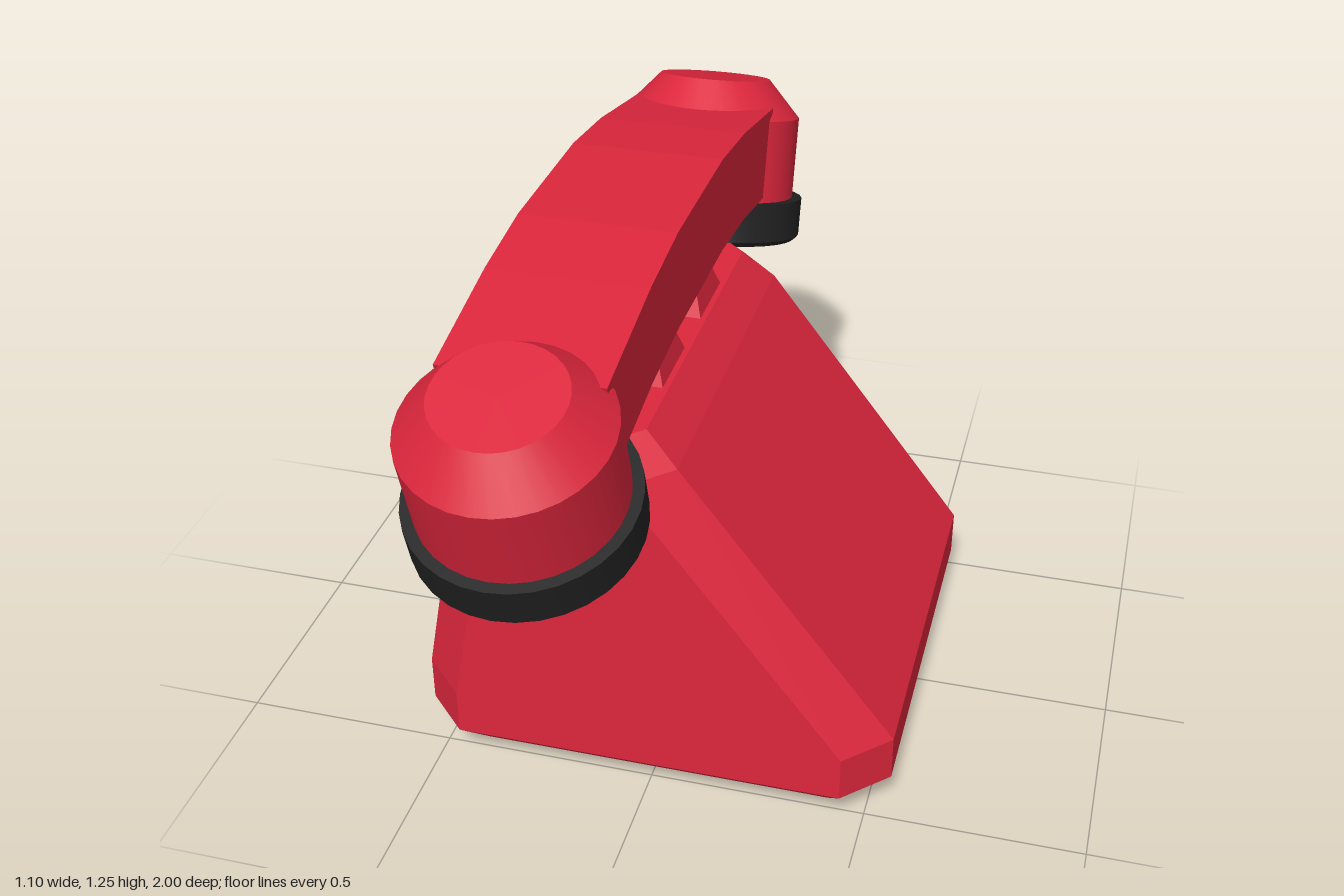
import * as THREE from 'three';
import { toCreasedNormals } from 'three/addons/utils/BufferGeometryUtils.js';

const red = new THREE.MeshStandardMaterial({ color: 0xdc263c });
const black = new THREE.MeshStandardMaterial({ color: 0x222222 });
const HANDSET_X = -0.19;

function addMesh(parent, name, geometry, material) {
  const mesh = new THREE.Mesh(geometry, material);
  mesh.name = name;
  parent.add(mesh);
  return mesh;
}

// Rectangle with cut corners at height y
function octagon({ y, x0, x1, z, c }) {
  return [
    [x0 + c, y, z], [x1 - c, y, z], [x1, y, z - c], [x1, y, c - z],
    [x1 - c, y, -z], [x0 + c, y, -z], [x0, y, c - z], [x0, y, z - c],
  ];
}

// Flat-sided solid through a stack of matching rings, capped at both ends
function loft(rings) {
  const out = [];
  const n = rings[0].length;
  const tri = (a, b, c) => out.push(...a, ...b, ...c);
  for (let r = 0; r < rings.length - 1; r++) {
    for (let i = 0; i < n; i++) {
      const j = (i + 1) % n;
      tri(rings[r][i], rings[r][j], rings[r + 1][j]);
      tri(rings[r][i], rings[r + 1][j], rings[r + 1][i]);
    }
  }
  const top = rings[rings.length - 1];
  for (let i = 1; i < n - 1; i++) {
    tri(top[0], top[i], top[i + 1]);
    tri(rings[0][0], rings[0][i + 1], rings[0][i]);
  }
  const geometry = new THREE.BufferGeometry();
  geometry.setAttribute('position', new THREE.Float32BufferAttribute(out, 3));
  geometry.computeVertexNormals();
  return geometry;
}

// Box whose top is scaled in, standing on its base
function taperedBox(w, h, d, scaleX, scaleZ) {
  const geometry = new THREE.BoxGeometry(w, h, d).translate(0, h / 2, 0);
  const p = geometry.attributes.position;
  for (let i = 0; i < p.count; i++) {
    if (p.getY(i) > h / 2) p.setXYZ(i, p.getX(i) * scaleX, h, p.getZ(i) * scaleZ);
  }
  const flat = geometry.toNonIndexed();
  flat.computeVertexNormals();
  return flat;
}

function turned(points) {
  const profile = points.map(([r, y]) => new THREE.Vector2(r, y));
  return toCreasedNormals(new THREE.LatheGeometry(profile, 32), 0.5);
}

// Ear or mouth cup, open face down at the group's origin
function createCup(name) {
  const cup = new THREE.Group();
  cup.name = name;
  addMesh(cup, 'cupShell', turned([
    [0.2, 0.08], [0.2225, 0.08], [0.2225, 0.312], [0.14, 0.402], [0, 0.402],
  ]), red);
  addMesh(cup, 'cupRing', turned([
    [0.16, 0.05], [0.16, 0], [0.235, 0], [0.2475, 0.012], [0.2475, 0.108], [0.22, 0.108],
  ]), black);
  addMesh(cup, 'cupRecess', turned([
    [0, 0.045], [0.11, 0.045], [0.11, 0.03], [0.162, 0.01],
  ]), red);
  return cup;
}

export function createModel() {
  const model = new THREE.Group();
  model.name = 'telephone';

  // Wedge-shaped body with chamfered edges
  addMesh(model, 'body', loft([
    { y: 0, x0: -0.47, x1: 0.47, z: 0.47, c: 0.06 },
    { y: 0.08, x0: -0.55, x1: 0.55, z: 0.55, c: 0.1 },
    { y: 0.19, x0: -0.55, x1: 0.55, z: 0.55, c: 0.1 },
    { y: 0.83, x0: -0.43, x1: 0.055, z: 0.55, c: 0.1 },
    { y: 0.9, x0: -0.36, x1: -0.02, z: 0.46, c: 0.04 },
  ].map(octagon)), red);

  // Cradle rests and the hook between them
  for (const side of [1, -1]) {
    const rest = addMesh(model, side > 0 ? 'frontRest' : 'backRest',
      taperedBox(0.32, 0.14, 0.19, 0.75, 0.4), red);
    rest.position.set(HANDSET_X, 0.89, side * 0.16);
  }
  const hook = addMesh(model, 'hook', taperedBox(0.2, 0.07, 0.17, 0.9, 0.95), red);
  hook.position.set(HANDSET_X, 0.89, 0);

  // Arched handle, half profile as [z, y] mirrored front to back
  const handset = new THREE.Group();
  handset.name = 'handset';
  handset.position.x = HANDSET_X;
  model.add(handset);
  const upper = [[0.19, 1.25], [0.4, 1.225], [0.7, 1.165]];
  const lower = [[0.62, 0.96], [0.4, 1.0], [0.19, 1.02]];
  const half = [...upper, ...lower];
  const outline = [...half, ...half.map(([z, y]) => [-z, y]).reverse()];
  const shape = new THREE.Shape(outline.map(([z, y]) => new THREE.Vector2(z, y)));
  const handle = new THREE.ExtrudeGeometry(shape, { depth: 0.356, bevelEnabled: false })
    .translate(0, 0, -0.178).rotateY(-Math.PI / 2);
  addMesh(handset, 'handle', handle, red);

  // Cups tilted outwards at each end
  for (const side of [1, -1]) {
    const end = new THREE.Group();
    end.name = side > 0 ? 'frontEnd' : 'backEnd';
    end.rotation.y = side > 0 ? 0 : Math.PI;
    const cup = createCup(side > 0 ? 'mouthCup' : 'earCup');
    cup.position.set(0, 0.807, 0.69);
    cup.rotation.x = THREE.MathUtils.degToRad(18);
    end.add(cup);
    handset.add(end);
  }

  return model;
}
